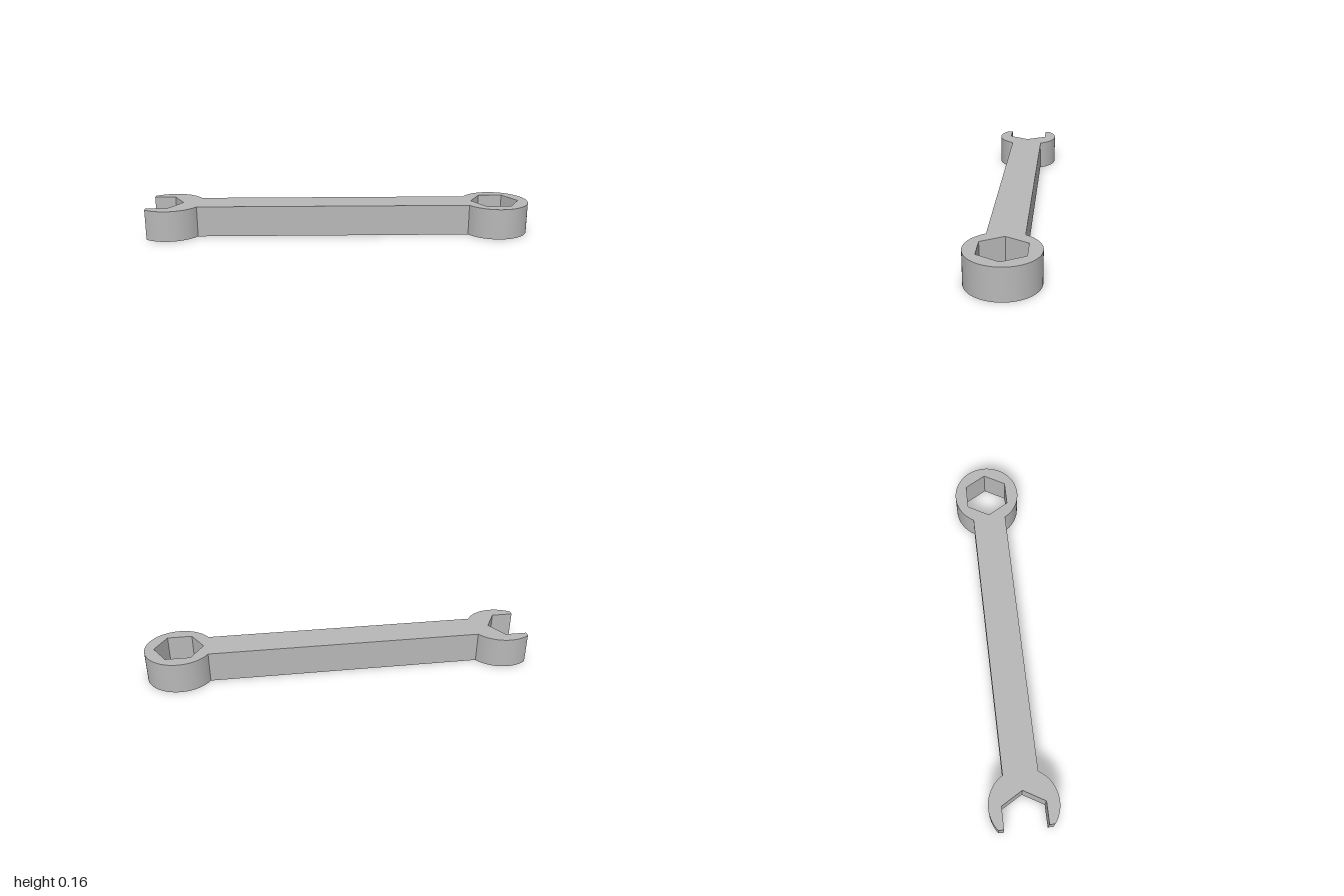
import * as THREE from 'three';
import { toCreasedNormals } from 'three/addons/utils/BufferGeometryUtils.js';

const THICKNESS = 0.16;
const HEAD_R = 0.174;      // radius of both heads
const HALF_W = 0.088;      // half width of the handle
const HEX_R = 0.126;       // corner radius of the hexagonal openings
const RING_X = 0.826;      // centre of the ring head
const JAW_X = -0.893;      // centre of the open head
const JAW_HEX_X = -0.952;  // centre of the open head's hexagon
const TIP_X = -1;          // flat cut of the jaw tips

// Corner i of a flat-sided-up hexagon centred on (cx, 0)
const hexCorner = (cx, i) => new THREE.Vector2(
  cx + HEX_R * Math.cos(i * Math.PI / 3),
  HEX_R * Math.sin(i * Math.PI / 3)
);

export function createModel() {
  const steel = new THREE.MeshStandardMaterial({ color: 0xb8b8b8 });
  steel.name = 'steel grey';

  const join = Math.asin(HALF_W / HEAD_R);                // where handle meets heads
  const tip = Math.acos((TIP_X - JAW_X) / HEAD_R);        // where the jaws are cut off
  const flat = hexCorner(JAW_HEX_X, 1).y;

  // Outline, counter-clockwise: ring head, upper jaw, hex throat, lower jaw
  const outline = new THREE.Shape();
  outline.absarc(RING_X, 0, HEAD_R, -Math.PI + join, Math.PI - join, false);
  outline.absarc(JAW_X, 0, HEAD_R, join, tip, false);
  outline.lineTo(TIP_X, flat);
  for (const i of [1, 0, -1]) {
    const p = hexCorner(JAW_HEX_X, i);
    outline.lineTo(p.x, p.y);
  }
  outline.lineTo(TIP_X, -flat);
  outline.absarc(JAW_X, 0, HEAD_R, -tip, -join, false);
  outline.closePath();

  // Hexagonal hole through the ring head
  const corners = [0, 1, 2, 3, 4, 5].map(i => hexCorner(RING_X, -i));
  outline.holes.push(new THREE.Path([...corners, corners[0]]));

  const extruded = new THREE.ExtrudeGeometry(outline, {
    depth: THICKNESS, bevelEnabled: false, curveSegments: 40
  });
  extruded.rotateX(-Math.PI / 2);

  const wrench = new THREE.Mesh(toCreasedNormals(extruded, Math.PI / 6), steel);
  wrench.name = 'wrenchBody';

  const group = new THREE.Group();
  group.name = 'wrench';
  group.add(wrench);
  return group;
}
